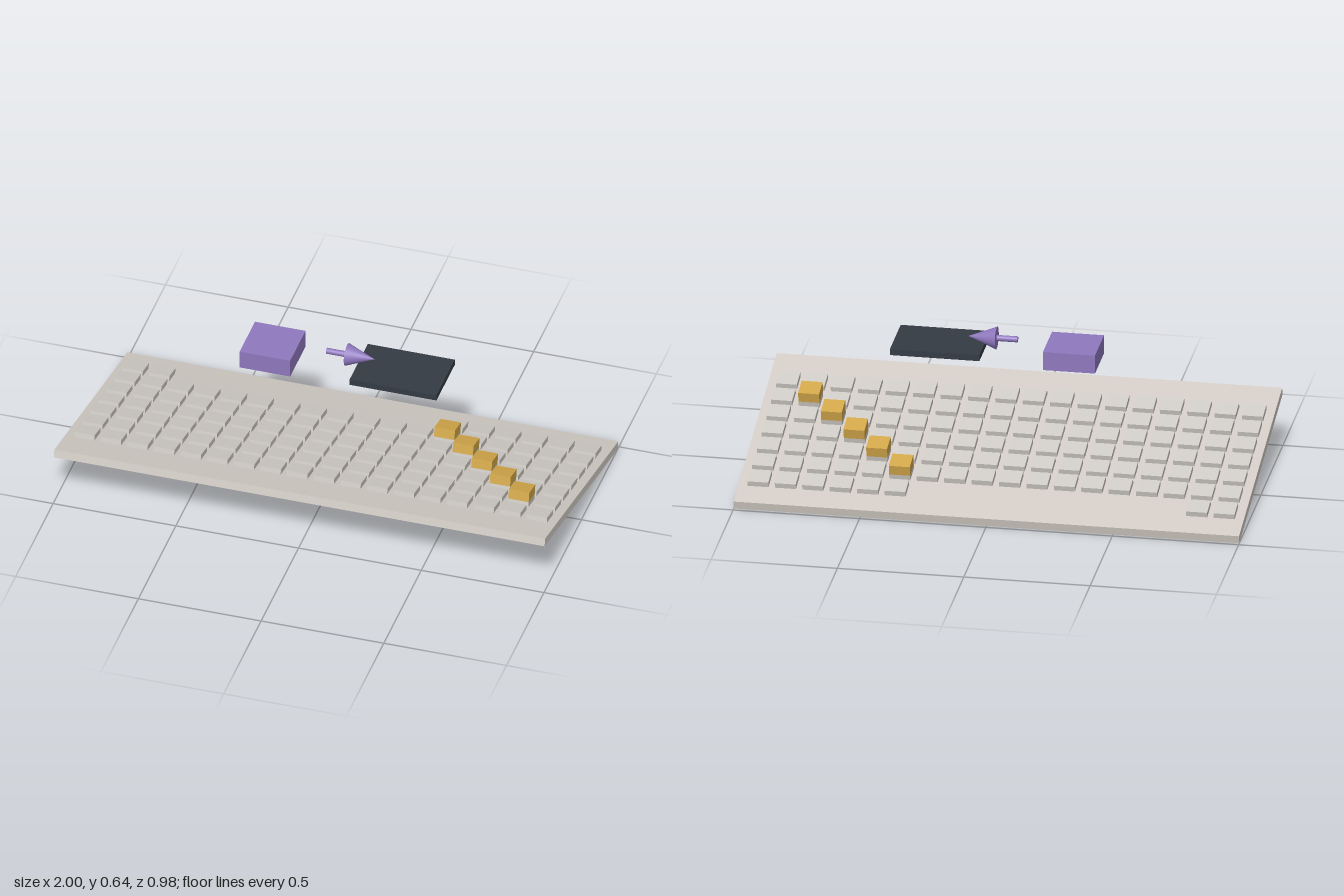
import * as THREE from 'three';

const mat = (name, color) => Object.assign(new THREE.MeshStandardMaterial({ color }), { name });

function add(parent, name, geometry, material, x = 0, y = 0, z = 0) {
  const mesh = new THREE.Mesh(geometry, material);
  mesh.name = name;
  mesh.position.set(x, y, z);
  parent.add(mesh);
  return mesh;
}

export function createModel() {
  const model = new THREE.Group();
  model.name = 'keyboardDiagram';
  const stone = mat('warm grey base', 0xd4cdc6);
  const keyGrey = mat('light grey keys', 0xd0ccc6);
  const gold = mat('gold', 0xd4a84b);
  const purple = mat('purple', 0x8f78be);
  const slate = mat('dark slate', 0x343b44);

  // Tilted board, high edge at the front
  const board = new THREE.Group();
  board.name = 'tiltedBoard';
  board.position.y = 0.125;
  board.rotation.x = -0.22;
  model.add(board);
  const thick = 0.033;
  add(board, 'boardSlab', new THREE.BoxGeometry(2, thick, 1), stone);

  // Key grid: the back row has only its outer keys, a diagonal of keys carries gold blocks
  const columns = 18, rows = 7, size = 0.083, keyHeight = 0.0215, blockHeight = 0.041;
  const keyGeo = new THREE.BoxGeometry(size, keyHeight, size);
  const blockGeo = new THREE.BoxGeometry(size, blockHeight, size);
  for (let row = 0; row < rows; row++) {
    const z = -0.348 + row * 0.11;
    for (let col = 0; col < columns; col++) {
      if (row === 0 && col > 1 && col < 12) continue;
      const x = -0.9225 + col * 0.1085;
      add(board, 'key', keyGeo, keyGrey, x, thick / 2 + keyHeight / 2, z);
      if (row >= 1 && row <= 5 && col === row + 11) {
        add(board, 'goldBlock', blockGeo, gold, x, thick / 2 + keyHeight + blockHeight / 2, z);
      }
    }
  }

  // Floating block and plate
  add(model, 'purpleBlock', new THREE.BoxGeometry(0.206, 0.076, 0.206), purple, -0.26, 0.551, -0.005);
  add(model, 'darkPlate', new THREE.BoxGeometry(0.354, 0.025, 0.245), slate, 0.268, 0.553, -0.005);

  // Arrow pointing to +x
  const arrow = new THREE.Group();
  arrow.name = 'arrow';
  arrow.position.set(0, 0.591, -0.005);
  model.add(arrow);
  const shaft = new THREE.CylinderGeometry(0.012, 0.012, 0.085, 24).rotateZ(-Math.PI / 2);
  const head = new THREE.ConeGeometry(0.045, 0.113, 32).rotateZ(-Math.PI / 2);
  add(arrow, 'arrowShaft', shaft, purple, 0.003);
  add(arrow, 'arrowHead', head, purple, 0.1);

  return model;
}
